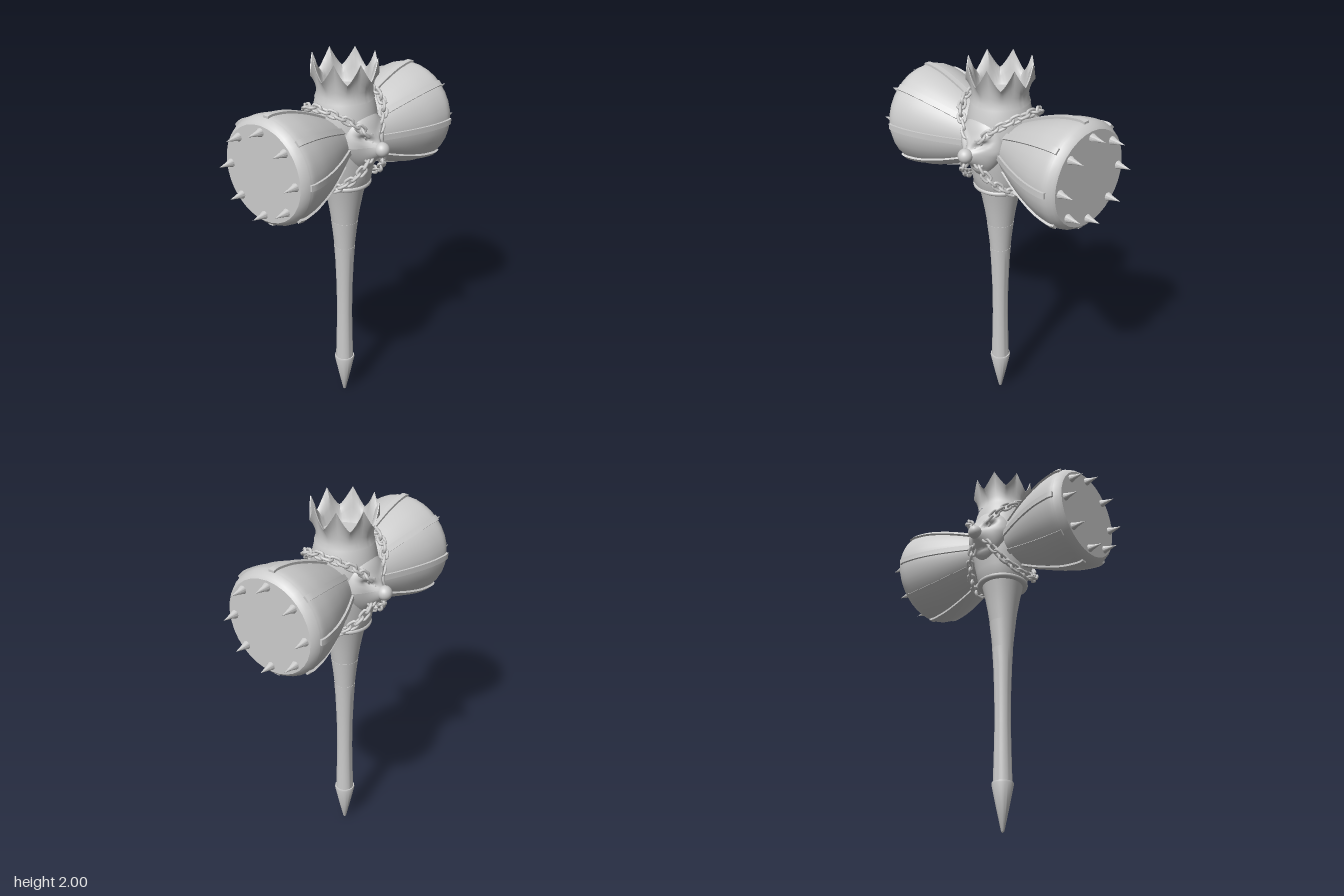
import * as THREE from 'three';
import { toCreasedNormals } from 'three/addons/utils/BufferGeometryUtils.js';

const mat = new THREE.MeshStandardMaterial({ color: 0xcccccc });
const V2 = (x, y) => new THREE.Vector2(x, y);
const HEAD_Y = 1.58;

function add(parent, name, geometry) {
  const mesh = new THREE.Mesh(geometry, mat);
  mesh.name = name;
  parent.add(mesh);
  return mesh;
}

// Revolved profile given as [radius, height] pairs from bottom to top
function lathe(points, segments = 32) {
  const g = new THREE.LatheGeometry(points.map(p => V2(p[0], p[1])), segments);
  return toCreasedNormals(g, 0.6);
}

// Move every vertex by a rule
function deform(g, rule) {
  const pos = g.attributes.position, v = new THREE.Vector3();
  for (let i = 0; i < pos.count; i++) {
    v.fromBufferAttribute(pos, i);
    rule(v);
    pos.setXYZ(i, v.x, v.y, v.z);
  }
  g.computeVertexNormals();
  return g;
}

// Flared barrel profile: x = distance from the centre, y = radius
const flare = new THREE.SplineCurve([
  V2(0.05, 0.1), V2(0.14, 0.143), V2(0.22, 0.182), V2(0.31, 0.22),
  V2(0.41, 0.252), V2(0.5, 0.266), V2(0.535, 0.262),
]);

function makeBarrel() {
  const barrel = new THREE.Group();
  const profile = flare.getPoints(24).map(p => [p.y, p.x]);
  profile.push([0.248, 0.56], [0.236, 0.57], [0, 0.57]);
  add(barrel, 'barrel', lathe(profile, 32).rotateZ(-Math.PI / 2));

  // Raised straps following the flare, and spikes on the striking face
  const strap = deform(new THREE.BoxGeometry(1, 1, 1, 20, 1, 1), v => {
    const p = flare.getPoint(v.x + 0.5);
    v.set(p.x, p.y + (v.y > 0 ? 0.01 : -0.02), v.z * 0.03);
  });
  const strapGeometry = toCreasedNormals(strap, 0.6);
  const spike = lathe([[0.021, 0], [0.02, 0.012], [0.013, 0.03], [0, 0.085]], 12).rotateZ(-Math.PI / 2);
  for (let i = 0; i < 8; i++) {
    const a = i * Math.PI / 4;
    add(barrel, 'strap', strapGeometry).rotation.x = a;
    add(barrel, 'spike', spike).position.set(0.562, 0.205 * Math.cos(a), 0.205 * Math.sin(a));
  }
  barrel.position.y = HEAD_Y;
  return barrel;
}

// Mask with slanted eye sockets, brows, snout and round nose
function makeMask() {
  const mask = new THREE.Group();
  const bump = (x, y, sx, sy) => Math.exp(-((x / sx) ** 2) - (y / sy) ** 2);
  const face = deform(new THREE.SphereGeometry(1, 64, 48).rotateX(Math.PI / 2), v => {
    const front = Math.max(0, v.z);
    const taper = v.y > 0 ? 1 : 1 + 0.35 * v.y;
    const x = v.x * 0.132 * taper, y = 0.16 * v.y;
    const dx = Math.abs(x) - 0.062;
    const slant = y - 0.04 - dx * 0.5;
    let z = 0.115 + 0.085 * v.z;
    z += front * (0.045 * bump(x, y + 0.025, 0.05, 0.055)
      - 0.032 * bump(dx, slant, 0.036, 0.017)
      + 0.012 * bump(dx, slant - 0.033, 0.045, 0.016)
      - 0.01 * bump(x, y + 0.095, 0.05, 0.01));
    v.set(x, y + 1.6, z);
  });
  add(mask, 'face', face);
  const nose = add(mask, 'nose', new THREE.SphereGeometry(0.037, 24, 16));
  nose.position.set(0, 1.583, 0.238);
  return mask;
}

// Crown: walled ring with eight points and a floor
function makeCrown() {
  const section = [
    [0.147, 0], [0.139, 0.12], [0.138, 0.3], [0.144, 0.55], [0.153, 0.8], [0.166, 1],
    [0.162, 1], [0.145, 0.8], [0.135, 0.55], [0.128, 0.3], [0.118, 0.16], [0, 0.13],
  ];
  const g = new THREE.LatheGeometry(section.map(p => V2(...p)), 96);
  deform(g, v => {
    const turn = Math.atan2(v.x, v.z) / (Math.PI / 4);
    const s = 1 - Math.abs(2 * (turn - Math.floor(turn)) - 1);
    const h = v.y < 0.2 ? 0.2 : 0.105 + 0.095 * s ** 1.25;
    const y = v.y < 0.2 ? v.y * h : 0.04 + (v.y - 0.2) / 0.8 * (h - 0.04);
    v.y = 1.8 + y;
  });
  return toCreasedNormals(g, 0.7);
}

// Closed chain of interlocking oval links, slanted across the body
function makeChain() {
  const chain = new THREE.Group();
  const front = [[0.14, 1.745, 0.12], [0.075, 1.69, 0.165], [0, 1.6, 0.18], [-0.07, 1.49, 0.175], [-0.125, 1.41, 0.11]];
  const loop = [[0.195, 1.785, 0], ...front, [-0.165, 1.365, 0],
    ...front.slice().reverse().map(([x, y, z]) => [x, y, -z])];
  const curve = new THREE.CatmullRomCurve3(loop.map(p => new THREE.Vector3(...p)), true);

  class LinkCurve extends THREE.Curve {
    getPoint(t, out = new THREE.Vector3()) {
      const a = t * Math.PI * 2, c = Math.cos(a);
      return out.set(c * 0.014 + Math.sign(c) * 0.012 * Math.min(1, Math.abs(c) * 3), Math.sin(a) * 0.017, 0);
    }
  }
  const link = new THREE.TubeGeometry(new LinkCurve(), 24, 0.0075, 8, true);
  const count = Math.round(curve.getLength() / 0.038 / 2) * 2;
  const centre = new THREE.Vector3(0, HEAD_Y, 0);
  for (let i = 0; i < count; i++) {
    const p = curve.getPointAt(i / count), t = curve.getTangentAt(i / count);
    const out = p.clone().sub(centre);
    out.addScaledVector(t, -out.dot(t)).normalize();
    const side = new THREE.Vector3().crossVectors(out, t);
    const m = add(chain, 'chainLink', link);
    m.quaternion.setFromRotationMatrix(new THREE.Matrix4().makeBasis(t, side, out));
    m.rotateX(i % 2 ? Math.PI / 4 : -Math.PI / 4);
    m.position.copy(p).addScaledVector(out, 0.008);
  }
  return chain;
}

export function createModel() {
  const model = new THREE.Group();
  model.name = 'warHammer';

  // Handle: pointed tip, slim shaft, flared neck
  const handle = new THREE.Group();
  handle.name = 'handle';
  add(handle, 'tip', lathe([[0, 0], [0.008, 0.008], [0.032, 0.12], [0.056, 0.24], [0.054, 0.25], [0, 0.252]]));
  add(handle, 'shaft', lathe([[0.049, 0.24], [0.045, 0.4], [0.042, 0.55], [0.044, 0.72], [0.05, 0.88], [0.056, 0.972], [0, 0.973]]));
  add(handle, 'grip', lathe([[0.054, 0.965], [0.061, 1.04], [0.071, 1.125], [0, 1.126]]));
  add(handle, 'neck', lathe([[0.069, 1.12], [0.081, 1.2], [0.096, 1.28], [0.112, 1.35]]));
  model.add(handle);

  // Central body with a lower rim
  add(model, 'body', lathe([
    [0, 1.342], [0.12, 1.342], [0.135, 1.37], [0.143, 1.42], [0.158, 1.49], [0.166, 1.56],
    [0.169, 1.63], [0.166, 1.69], [0.158, 1.74], [0.147, 1.785], [0.138, 1.81], [0, 1.812],
  ], 48));
  const rim = add(model, 'rim', new THREE.TorusGeometry(0.125, 0.013, 10, 48));
  rim.rotation.x = Math.PI / 2;
  rim.position.y = 1.353;

  add(model, 'crown', makeCrown());

  // Paired parts: barrels left and right, masks front and back, crossed chains
  [0, Math.PI].forEach((turn, i) => {
    const where = i ? 'Second' : 'First';
    [['barrel', makeBarrel()], ['mask', makeMask()], ['chain', makeChain()]].forEach(([name, part]) => {
      part.name = name + where;
      part.rotation.y = turn;
      model.add(part);
    });
  });
  return model;
}
